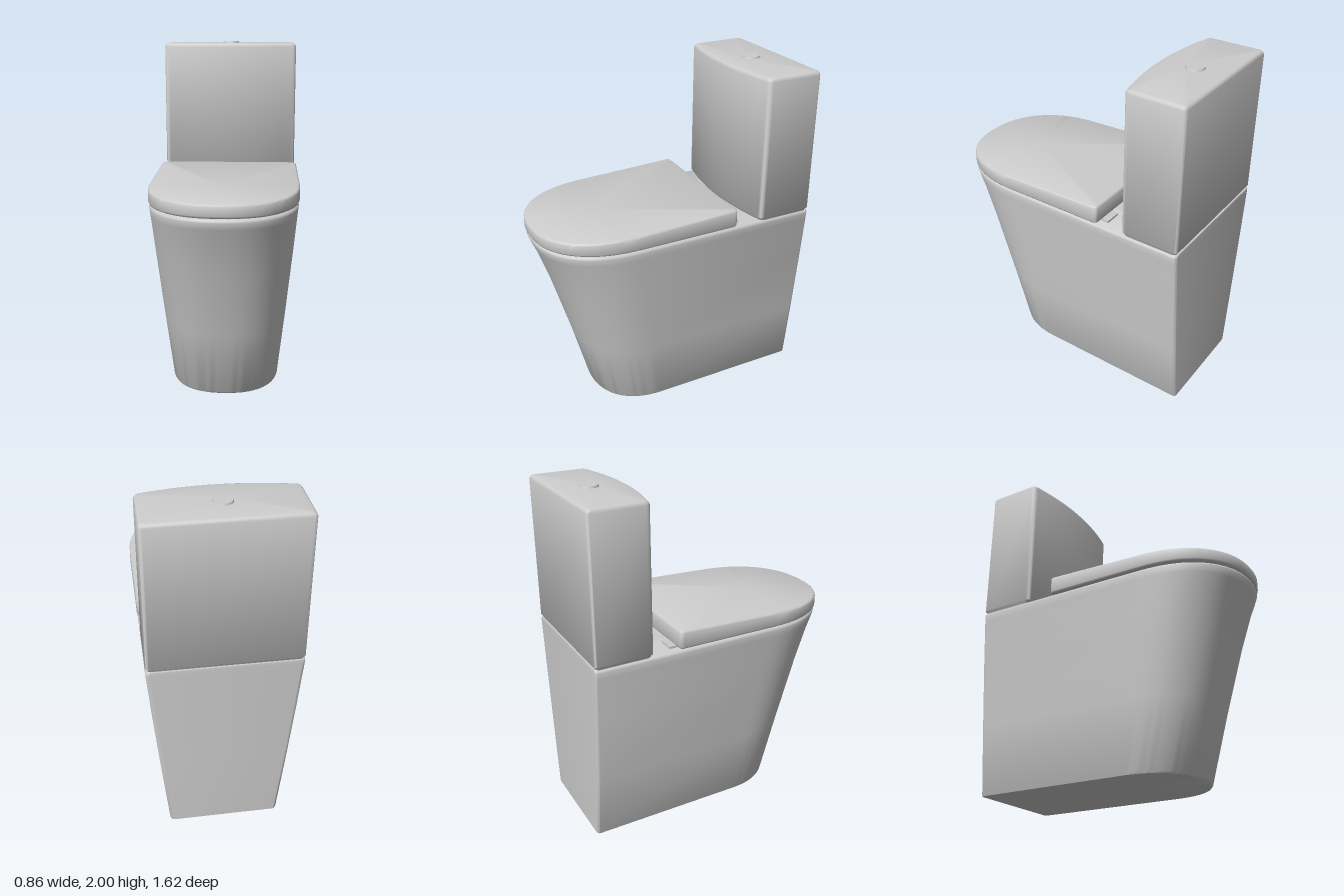
import * as THREE from 'three';
import { toCreasedNormals } from 'three/addons/utils/BufferGeometryUtils.js';

// Corner arc points in the x-z plane, centre (cx, cz), from angle a0 to a1
function arc(cx, cz, r, a0, a1, n = 5) {
  return Array.from({ length: n + 1 }, (_, i) => {
    const a = a0 + ((a1 - a0) * i) / n;
    return [cx + r * Math.cos(a), cz + r * Math.sin(a)];
  });
}

// Square back corners shared by every outline, running from -x to +x
function backCorners(w, zBack, r) {
  return [
    ...arc(-w + r, zBack + r, r, Math.PI, 1.5 * Math.PI),
    ...arc(w - r, zBack + r, r, 1.5 * Math.PI, 2 * Math.PI),
  ];
}

// D-shaped outline: straight sides, full rounded front
function dOutline(w, zBack, zSide, zFront, r = 0.02) {
  const front = [], n = 40, power = 2 / 2.3;
  for (let i = 0; i <= n; i++) {
    const a = (Math.PI * i) / n, c = Math.cos(a);
    front.push([
      Math.sign(c) * w * Math.abs(c) ** power,
      zSide + (zFront - zSide) * Math.max(0, Math.sin(a)) ** power,
    ]);
  }
  return [...front, ...backCorners(w, zBack, r)];
}

// Cistern outline: box with a gently bowed front, inset by d
function tankOutline(d) {
  const w = 0.425 - d, r = 0.03, edge = -0.462 - d, bow = [];
  for (let i = 1; i < 16; i++) {
    const t = 1 - i / 8;
    bow.push([t * (w - r), edge + 0.047 * (1 - t * t)]);
  }
  return [
    ...arc(w - r, edge - r, r, 0, Math.PI / 2),
    ...bow,
    ...arc(-w + r, edge - r, r, Math.PI / 2, Math.PI),
    ...backCorners(w, -0.81 + d, 0.02),
  ];
}

// Closed solid through stacked outlines; y is a number or a function of z
function loft(layers) {
  const pos = [], index = [], n = layers[0].outline.length;
  const height = (y, z) => (typeof y === 'function' ? y(z) : y);
  for (const { y, outline } of layers)
    for (const [x, z] of outline) pos.push(x, height(y, z), z);
  for (let k = 0; k < layers.length - 1; k++)
    for (let i = 0; i < n; i++) {
      const a = k * n + i, b = k * n + ((i + 1) % n);
      index.push(a, a + n, b, b, a + n, b + n);
    }
  const last = layers.length - 1, bottom = pos.length / 3, top = bottom + 1;
  for (const layer of [layers[0], layers[last]]) {
    const z = layer.outline.reduce((s, p) => s + p[1], 0) / n;
    pos.push(0, height(layer.y, z), z);
  }
  for (let i = 0; i < n; i++) {
    const j = (i + 1) % n;
    index.push(bottom, i, j, top, last * n + j, last * n + i);
  }
  const g = new THREE.BufferGeometry();
  g.setAttribute('position', new THREE.Float32BufferAttribute(pos, 3));
  g.setIndex(index);
  return toCreasedNormals(g, 0.9);
}

export function createModel() {
  const group = new THREE.Group();
  const ceramic = new THREE.MeshStandardMaterial({ color: 0xcccccc });
  ceramic.name = 'ceramic';
  const add = (name, geometry, x = 0, y = 0, z = 0) => {
    const mesh = new THREE.Mesh(geometry, ceramic);
    mesh.name = name;
    mesh.position.set(x, y, z);
    group.add(mesh);
  };

  // Pedestal: rows of height, half width, straight-side end, front
  const pedestal = [
    [0, 0.315, 0.12, 0.465], [0.01, 0.32, 0.12, 0.473], [0.4, 0.36, 0.18, 0.575],
    [0.8, 0.398, 0.24, 0.69], [1.0, 0.415, 0.28, 0.758], [1.07, 0.421, 0.295, 0.788],
    [1.11, 0.425, 0.3, 0.803], [1.122, 0.422, 0.3, 0.8], [1.128, 0.413, 0.3, 0.79],
  ];
  add('pedestal', loft(pedestal.map(([y, w, zs, zf]) =>
    ({ y, outline: dOutline(w, -0.81, zs, zf) }))));

  // Recessed seat beneath the lid
  add('seat', loft([1.12, 1.145].map((y) =>
    ({ y, outline: dOutline(0.4, -0.27, 0.3, 0.775) }))));

  // Lid with a top that slopes down to the front
  const lidLayer = (y, d) => ({ y, outline: dOutline(0.43 - d, -0.305 + d, 0.3, 0.81 - d) });
  const slope = (drop) => (z) => 1.235 - 0.032 * z - drop;
  add('lid', loft([
    lidLayer(1.135, 0.012), lidLayer(1.139, 0.004), lidLayer(1.148, 0),
    lidLayer(slope(0.012), 0), lidLayer(slope(0.004), 0.004), lidLayer(slope(0), 0.012),
  ]));

  // Low hinge blocks behind the lid
  for (const side of [-1, 1])
    add(side > 0 ? 'leftHinge' : 'rightHinge',
      new THREE.BoxGeometry(0.1, 0.02, 0.09), side * 0.32, 1.13, -0.3);

  // Cistern with softened top and bottom edges
  add('cistern', loft([
    [1.12, 0.012], [1.138, 0.008], [1.146, 0], [1.968, 0],
    [1.98, 0.004], [1.987, 0.01], [1.99, 0.02],
  ].map(([y, d]) => ({ y, outline: tankOutline(d) }))));

  // Flush button
  add('flushButton', toCreasedNormals(new THREE.CylinderGeometry(0.05, 0.057, 0.02, 24), 0.9),
    0, 1.99, -0.62);

  return group;
}
